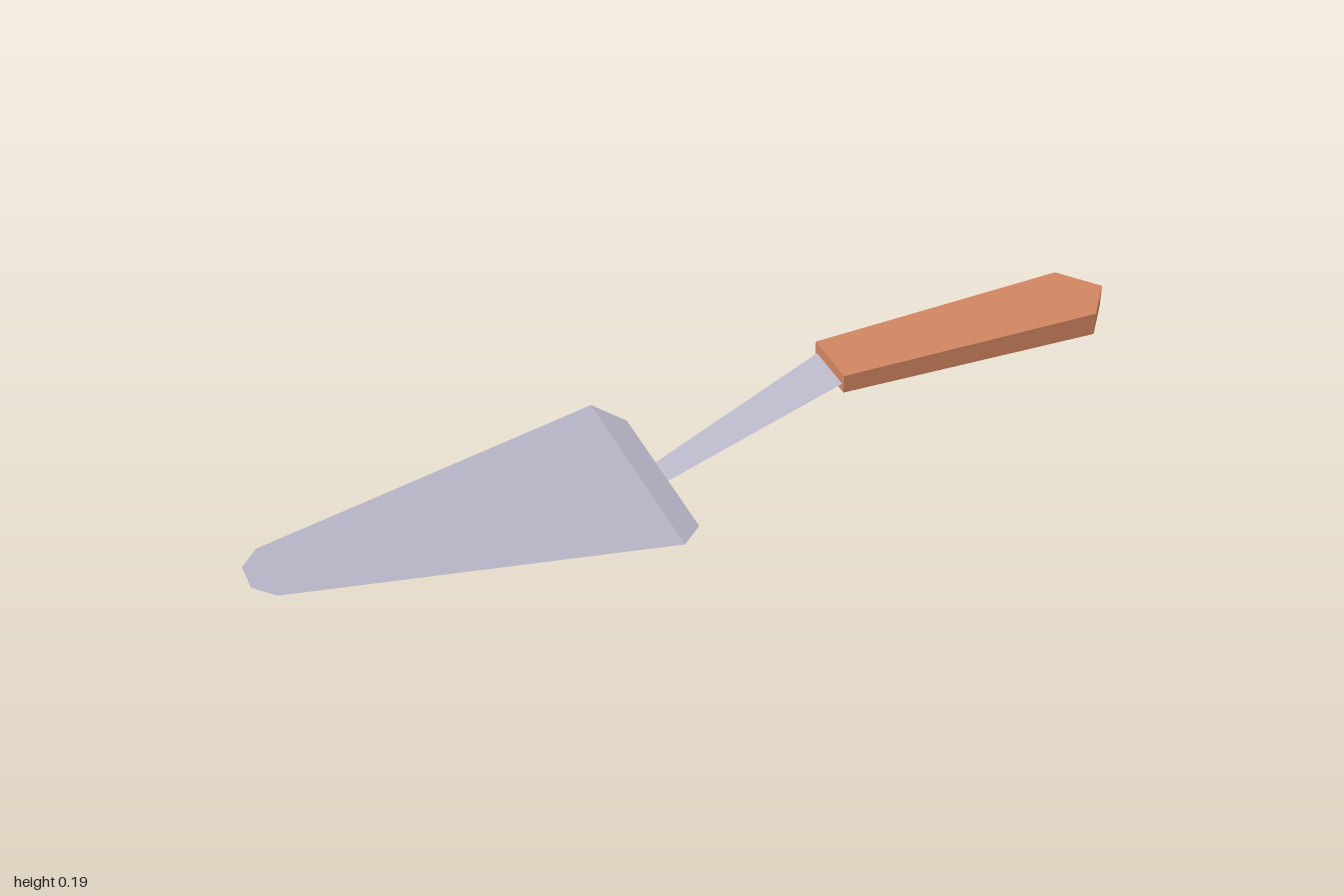
import * as THREE from 'three';

// Folded sheet from stations [x, y, halfWidth] along x, top side facing up
function sheet(stations) {
  const pos = [];
  for (let i = 0; i < stations.length - 1; i++) {
    const [x0, y0, w0] = stations[i];
    const [x1, y1, w1] = stations[i + 1];
    pos.push(x0, y0, w0, x1, y1, w1, x1, y1, -w1);
    pos.push(x0, y0, w0, x1, y1, -w1, x0, y0, -w0);
  }
  const geo = new THREE.BufferGeometry();
  geo.setAttribute('position', new THREE.Float32BufferAttribute(pos, 3));
  geo.computeVertexNormals();
  return geo;
}

// Handle: pointed outline, extruded upward and growing thicker towards the end
function handleGeometry() {
  const outline = [[0.317, -0.07], [0.93, -0.09], [1, 0], [0.93, 0.09], [0.317, 0.07]];
  const shape = new THREE.Shape(outline.map(([x, y]) => new THREE.Vector2(x, y)));
  const geo = new THREE.ExtrudeGeometry(shape, { depth: 1, bevelEnabled: false });
  geo.rotateX(-Math.PI / 2);
  const p = geo.attributes.position;
  for (let i = 0; i < p.count; i++) {
    const t = Math.min(1, (p.getX(i) - 0.317) / 0.613);
    p.setY(i, 0.1645 + (p.getY(i) - 0.5) * (0.044 + 0.011 * t));
  }
  geo.computeVertexNormals();
  // Soft shading across the pointed end
  const n = geo.attributes.normal;
  for (let i = 0; i < p.count; i++) {
    if (p.getX(i) > 0.999 && Math.abs(n.getY(i)) < 0.5) n.setXYZ(i, 1, 0, 0);
  }
  return geo;
}

export function createModel() {
  const steel = new THREE.MeshStandardMaterial({ color: 0xb5b3c4, side: THREE.DoubleSide });
  steel.name = 'steel';
  const wood = new THREE.MeshStandardMaterial({ color: 0xd08560 });
  wood.name = 'wood';

  const model = new THREE.Group();
  model.name = 'trowel';
  const add = (name, geo, mat) => {
    const mesh = new THREE.Mesh(geo, mat);
    mesh.name = name;
    model.add(mesh);
  };

  // Blade: flat tapered sheet with its rear edge folded down
  add('blade', sheet([
    [-1, 0.018, 0.035], [-0.958, 0.018, 0.08], [-0.14, 0.018, 0.263], [-0.08, 0, 0.2],
  ]), steel);

  // Neck: sloping strip from the blade up into the handle
  add('neck', sheet([[-0.08, 0.001, 0.035], [0.32, 0.162, 0.062]]), steel);

  add('handle', handleGeometry(), wood);
  return model;
}
